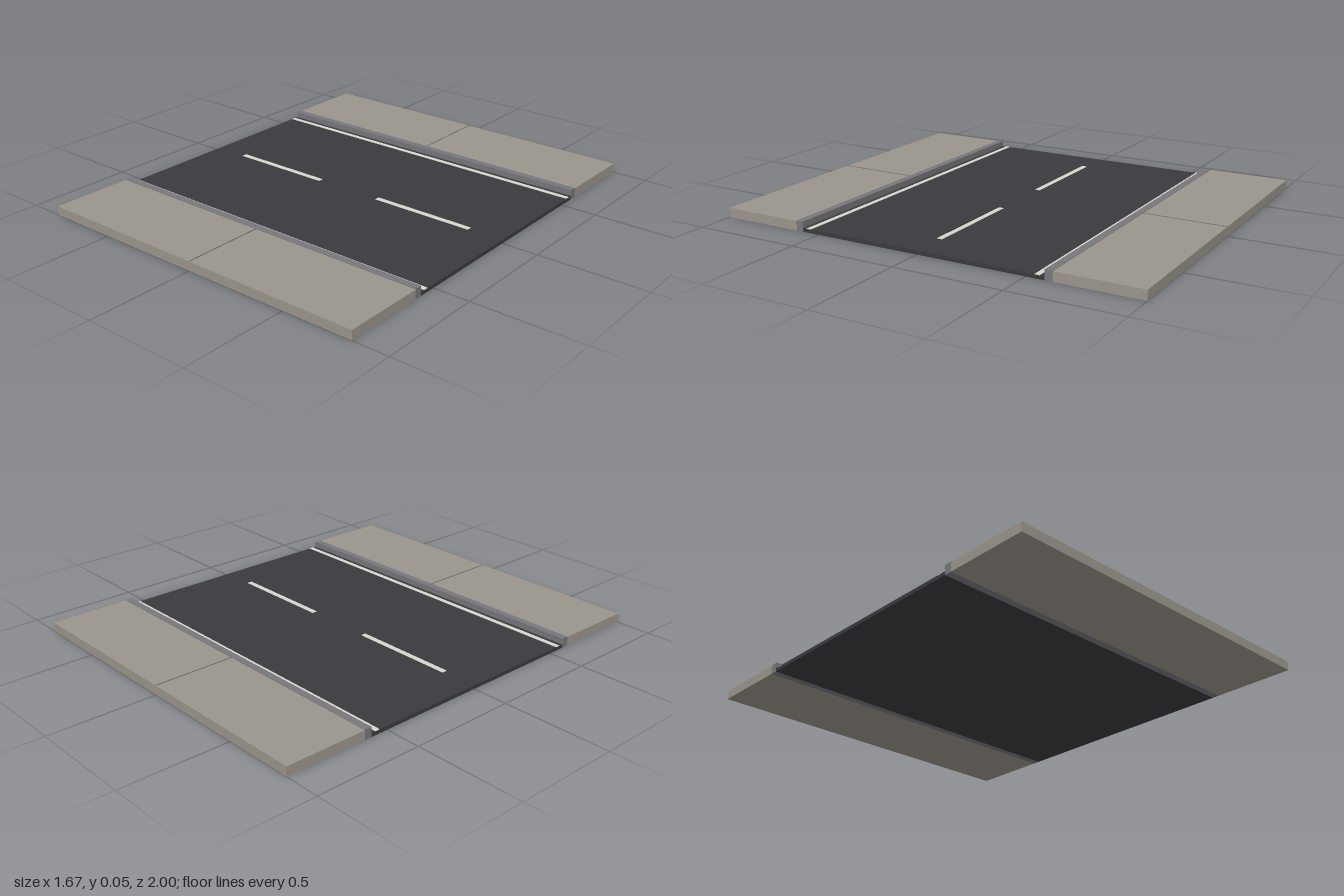
import * as THREE from 'three';

const WIDTH = 1.666;

export function createModel() {
  const model = new THREE.Group();
  const mat = (color) => new THREE.MeshStandardMaterial({ color });
  const asphalt = mat(0x3a393e);
  const paint = mat(0xd6d6cc);
  const stone = mat(0x77767a);
  const paving = mat(0x9a958b);
  const joint = mat(0x66655f);

  // Box given by its centre in x and its y and z ranges
  function slab(name, material, x, w, y0, y1, z0, z1) {
    const mesh = new THREE.Mesh(new THREE.BoxGeometry(w, y1 - y0, Math.abs(z1 - z0)), material);
    mesh.name = name;
    mesh.position.set(x, (y0 + y1) / 2, (z0 + z1) / 2);
    model.add(mesh);
  }

  // Road surface
  slab('roadSurface', asphalt, 0, WIDTH, 0, 0.017, -0.583, 0.583);

  // Both sides of the street
  for (const s of [1, -1]) {
    const side = s > 0 ? 'front' : 'back';
    slab(side + 'Sidewalk', paving, 0, WIDTH, 0, 0.043, s * 0.617, s);
    slab(side + 'Kerb', stone, 0, WIDTH, 0, 0.045, s * 0.583, s * 0.617);
    slab(side + 'EdgeLine', paint, 0, WIDTH, 0.016, 0.0185, s * 0.54, s * 0.563);
    slab(side + 'SidewalkJoint', joint, 0, 0.006, 0.042, 0.0438, s * 0.617, s);
  }

  // Dashed centre line
  for (const s of [1, -1]) {
    slab(s > 0 ? 'leftCentreDash' : 'rightCentreDash', paint, s * 0.417, 0.5, 0.016, 0.0185, -0.0125, 0.0125);
  }

  return model;
}
